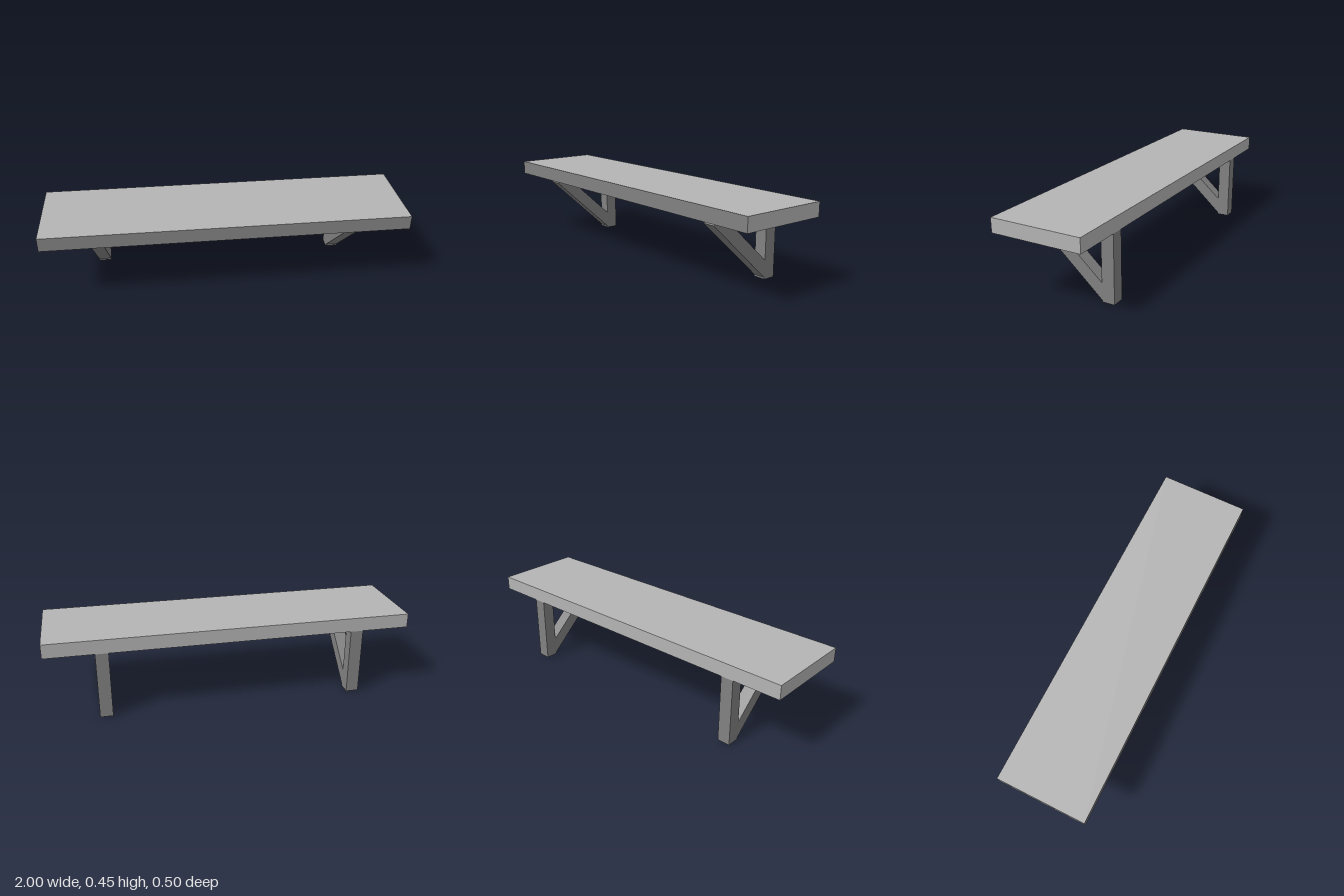
import * as THREE from 'three';

const lightGrey = new THREE.MeshStandardMaterial({ name: 'lightGrey', color: 0xb4b4b4 });
const darkGrey = new THREE.MeshStandardMaterial({ name: 'darkGrey', color: 0x818181 });

const WIDTH = 0.07;       // bracket thickness along x
const UNDERSIDE = 0.372;  // height of the board's lower face
const TOP = 0.45;

function add(parent, name, geometry, material, x, y, z) {
  const mesh = new THREE.Mesh(geometry, material);
  mesh.name = name;
  mesh.position.set(x, y, z);
  parent.add(mesh);
  return mesh;
}

// Upright against the wall plus a diagonal brace cut flush with the board
function createBracket(name, x) {
  const bracket = new THREE.Group();
  bracket.name = name;
  bracket.position.x = x;

  add(bracket, 'upright', new THREE.BoxGeometry(WIDTH, UNDERSIDE, WIDTH), darkGrey,
    0, UNDERSIDE / 2, -0.215);

  // Side profile as (z, y) points
  const profile = new THREE.Shape([
    [-0.18, 0.01], [0.193, 0.345], [0.169, UNDERSIDE], [0.119, UNDERSIDE], [-0.18, 0.104],
  ].map(([z, y]) => new THREE.Vector2(z, y)));
  const brace = new THREE.ExtrudeGeometry(profile, { depth: WIDTH, bevelEnabled: false });
  brace.rotateY(-Math.PI / 2);
  add(bracket, 'brace', brace, darkGrey, WIDTH / 2, 0, 0);
  return bracket;
}

export function createModel() {
  const shelf = new THREE.Group();
  shelf.name = 'wallShelf';

  // Board: light top, ends and back; dark underside and front edge
  add(shelf, 'board', new THREE.BoxGeometry(2, TOP - UNDERSIDE, 0.5),
    [lightGrey, lightGrey, lightGrey, darkGrey, darkGrey, lightGrey],
    0, (TOP + UNDERSIDE) / 2, 0);

  shelf.add(createBracket('leftBracket', 0.698), createBracket('rightBracket', -0.702));
  return shelf;
}
